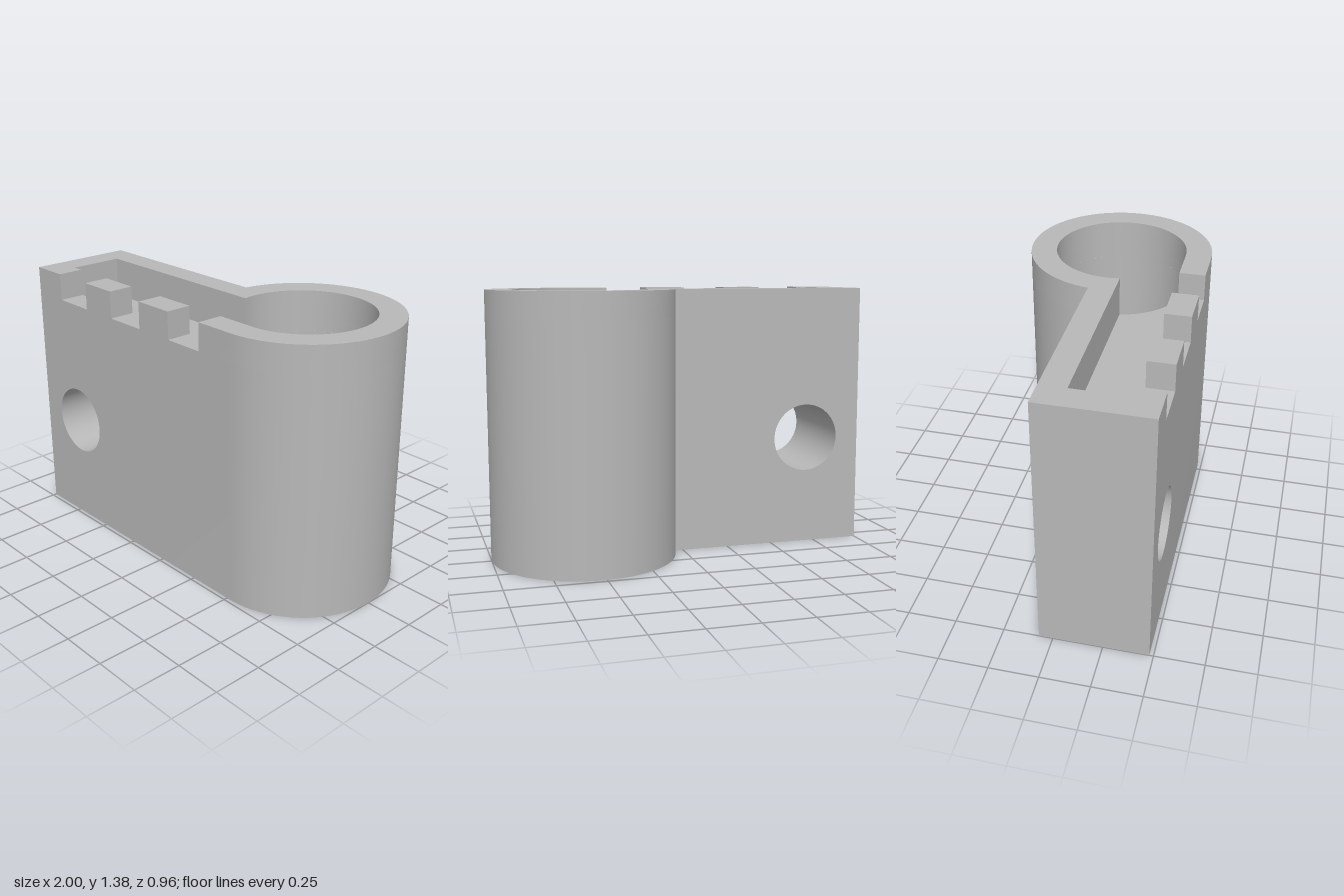
import * as THREE from 'three';
import { mergeGeometries, toCreasedNormals } from 'three/addons/utils/BufferGeometryUtils.js';

// Main dimensions
const LEFT = -1, FRONT = 0.48, BACK = -0.07, TOP = 1.38;
const CX = 0.52, R = 0.48, BORE = 0.345;                  // round barrel and its bore
const SLOT_X = -0.86, SLOT_BACK = 0.063, SLOT_FRONT = BORE;
const SILL = 1.24, SLOT_FLOOR = 1.173, BORE_FLOOR = 0.14;
const NOTCHES = [[-0.8, -0.57], [-0.36, -0.13], [0.09, 0.31]];
const HOLE = { x: -0.695, y: 0.575, r: 0.18 };

const v = (x, y) => new THREE.Vector2(x, y);

// Points on an arc, in plan (x, z)
function arc(cx, cy, r, a0, a1, n = 64) {
  return Array.from({ length: n + 1 }, (_, i) => {
    const a = a0 + (a1 - a0) * i / n;
    return v(cx + r * Math.cos(a), cy + r * Math.sin(a));
  });
}

// Upright wall along a plan path; it faces +z where the path runs towards +x
function wall(path, y0, y1, closed = false) {
  const pts = closed ? [...path, path[0]] : path;
  const pos = [];
  for (let i = 0; i + 1 < pts.length; i++) {
    const a = pts[i], b = pts[i + 1];
    if (a.distanceTo(b) < 1e-6) continue;
    pos.push(a.x, y0, a.y, b.x, y0, b.y, b.x, y1, b.y);
    pos.push(a.x, y0, a.y, b.x, y1, b.y, a.x, y1, a.y);
  }
  return new THREE.BufferGeometry().setAttribute('position', new THREE.Float32BufferAttribute(pos, 3));
}

// Flat face from an outline, optionally pierced
function face(points, hole) {
  const shape = new THREE.Shape(points);
  if (hole) shape.holes.push(new THREE.Path(hole));
  const g = new THREE.ShapeGeometry(shape).toNonIndexed();
  g.deleteAttribute('uv');
  g.deleteAttribute('normal');
  return g;
}
const faceUp = (plan, y) => face(plan.map(p => v(p.x, -p.y))).rotateX(-Math.PI / 2).translate(0, y, 0);
const faceDown = (plan, y) => face(plan).rotateX(Math.PI / 2).translate(0, y, 0);
const faceFront = (pts, z, hole) => face(pts, hole).translate(0, 0, z);
const faceBack = (pts, z, hole) => {
  const flip = a => a && a.map(p => v(-p.x, p.y));
  return face(flip(pts), flip(hole)).rotateY(Math.PI).translate(0, 0, z);
};
const rect = (x0, y0, x1, y1) => [v(x0, y0), v(x1, y0), v(x1, y1), v(x0, y1)];

export function createModel() {
  const group = new THREE.Group();
  const grey = new THREE.MeshStandardMaterial({ color: 0xb8b8b8 });
  grey.name = 'plain grey';
  const add = (name, parts) => {
    const mesh = new THREE.Mesh(toCreasedNormals(mergeGeometries(parts), 0.5), grey);
    mesh.name = name;
    group.add(mesh);
  };

  // Plan curves
  const backAngle = -Math.PI - Math.asin(BACK / R);
  const slotAngle = Math.PI - Math.asin(SLOT_BACK / BORE);
  const barrel = arc(CX, 0, R, Math.PI / 2, backAngle);
  const inner = arc(CX, 0, BORE, slotAngle, Math.PI * 2.5);
  const boreCircle = arc(CX, 0, BORE, 0, Math.PI * 2);
  const joinX = barrel[barrel.length - 1].x;
  const outline = [...barrel, v(LEFT, BACK), v(LEFT, FRONT)];
  const pocket = [v(SLOT_X, SLOT_FRONT), v(SLOT_X, SLOT_BACK), ...inner];

  // Outer body up to the notch sills
  const hole = arc(HOLE.x, HOLE.y, HOLE.r, 0, Math.PI * 2).slice(0, -1);
  add('body', [
    wall(barrel, 0, SILL),
    wall([v(LEFT, BACK), v(LEFT, FRONT)], 0, SILL),
    faceFront(rect(LEFT, 0, CX, SILL), FRONT, hole),
    faceBack(rect(LEFT, 0, joinX, SILL), BACK, hole),
    faceDown(outline, 0),
  ]);

  // Cross hole through the arm
  add('crossHole', [
    wall(arc(0, 0, HOLE.r, 0, Math.PI * 2), BACK, FRONT)
      .rotateX(Math.PI / 2).translate(HOLE.x, HOLE.y, 0),
  ]);

  // Deep round bore
  add('bore', [
    wall(boreCircle, BORE_FLOOR, SLOT_FLOOR),
    faceUp(boreCircle.slice(0, -1), BORE_FLOOR),
  ]);

  // Shallow slot opening into the bore
  add('slot', [
    wall(pocket, SLOT_FLOOR, SILL, true),
    faceUp([v(SLOT_X, SLOT_FRONT), v(SLOT_X, SLOT_BACK),
      ...arc(CX, 0, BORE, slotAngle, Math.PI / 2, 24)], SLOT_FLOOR),
  ]);

  // Upper rim, open along the notched front
  const first = NOTCHES[0][0], last = NOTCHES[2][1];
  const rim = [
    v(last, FRONT), ...outline, v(first, FRONT), v(first, SLOT_FRONT),
    ...pocket, v(last, SLOT_FRONT),
  ];
  add('rim', [wall(rim, SILL, TOP, true), faceUp(rim, TOP)]);

  // Teeth standing between the notches
  for (let i = 0; i < 2; i++) {
    const x0 = NOTCHES[i][1], x1 = NOTCHES[i + 1][0];
    const plan = [v(x0, FRONT), v(x1, FRONT), v(x1, SLOT_FRONT), v(x0, SLOT_FRONT)];
    add('tooth' + (i + 1), [wall(plan, SILL, TOP, true), faceUp(plan, TOP)]);
  }

  // Notch sills
  add('notchSills', NOTCHES.map(([a, b]) => faceUp(rect(a, SLOT_FRONT, b, FRONT), SILL)));
  return group;
}
